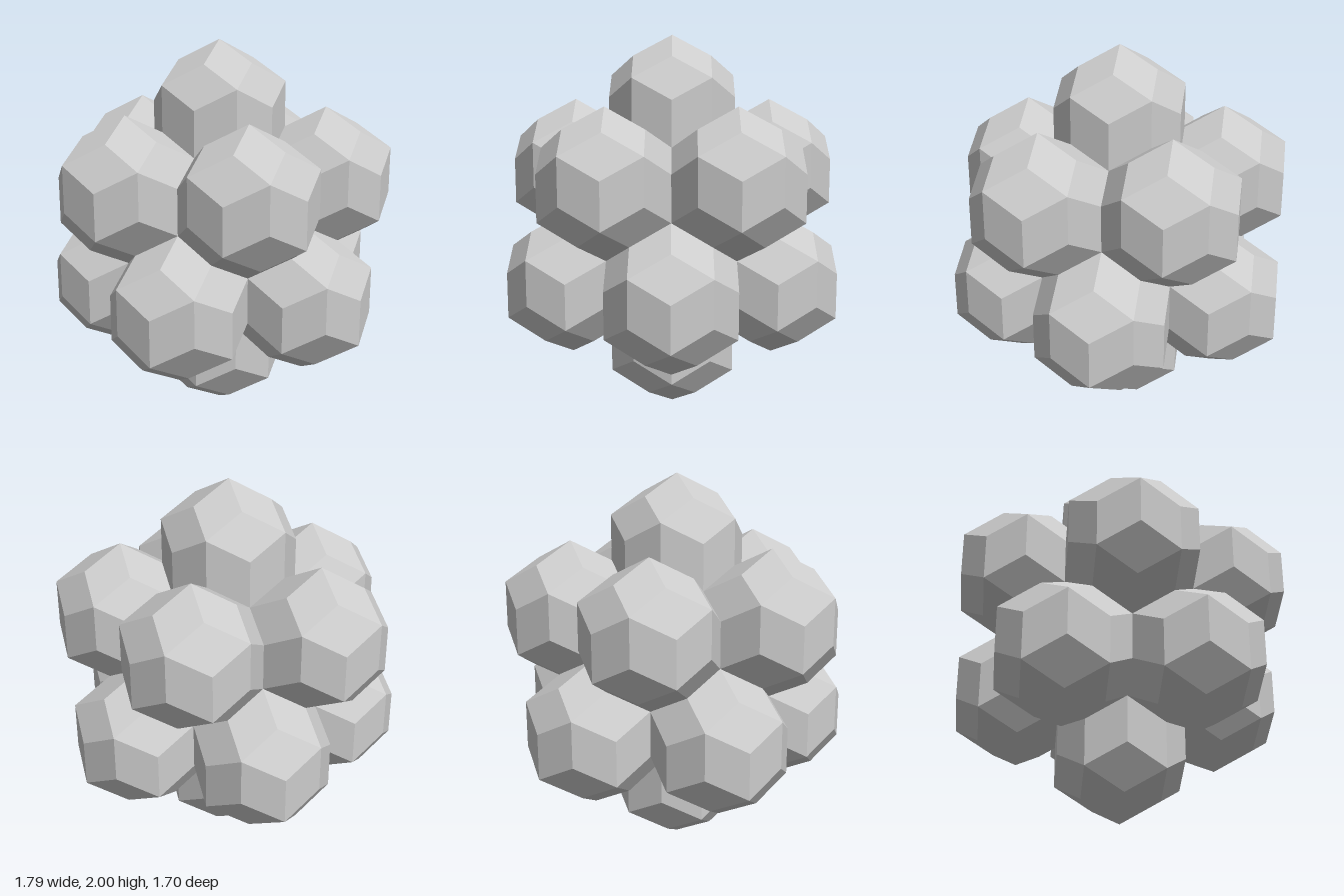
import * as THREE from 'three';

// Twelve directions of an icosahedron standing on a vertex: pole, two rings of five, pole
function icosahedronDirections() {
  const dirs = [new THREE.Vector3(0, 1, 0), new THREE.Vector3(0, -1, 0)];
  const h = 1 / Math.sqrt(5), r = 2 / Math.sqrt(5);
  for (let i = 0; i < 5; i++) {
    const a = (i * 2 * Math.PI) / 5;
    const upper = new THREE.Vector3(r * Math.cos(a), h, r * Math.sin(a));
    dirs.push(upper, upper.clone().negate());
  }
  return dirs;
}

// Rhombic triacontahedron: one rhombus over every edge of the icosahedron
function triacontahedron(dirs, radius) {
  const adjacent = (a, b) => a !== b && a.dot(b) > 0.4 && a.dot(b) < 0.5;
  const phi = (1 + Math.sqrt(5)) / 2;
  const threeFoldRadius = radius * Math.sqrt(3 / (phi + 2));
  const positions = [];
  dirs.forEach((a, i) => dirs.slice(i + 1).forEach((b) => {
    if (!adjacent(a, b)) return;
    // the two icosahedron faces sharing this edge give the other two corners
    const [p, q] = dirs.filter((c) => adjacent(a, c) && adjacent(b, c))
      .map((c) => a.clone().add(b).add(c).setLength(threeFoldRadius));
    const va = a.clone().multiplyScalar(radius);
    const vb = b.clone().multiplyScalar(radius);
    const normal = p.clone().sub(va).cross(vb.clone().sub(va));
    const [c1, c2] = normal.dot(va) > 0 ? [p, q] : [q, p];
    for (const v of [va, c1, vb, va, vb, c2]) positions.push(v.x, v.y, v.z);
  }));
  const geometry = new THREE.BufferGeometry();
  geometry.setAttribute('position', new THREE.Float32BufferAttribute(positions, 3));
  geometry.computeVertexNormals();
  return geometry;
}

export function createModel() {
  const group = new THREE.Group();
  group.name = 'polyhedronCluster';
  const dirs = icosahedronDirections();

  // Cell size and spacing chosen so neighbours share a face and the total height is 2
  const spacing = 0.618, cellRadius = 0.382;
  const geometry = triacontahedron(dirs, cellRadius);
  const material = new THREE.MeshStandardMaterial({ color: 0xcccccc, flatShading: true });

  // One cell at each icosahedron vertex
  dirs.forEach((dir, i) => {
    const cell = new THREE.Mesh(geometry, material);
    cell.name = `rhombicCell${i + 1}`;
    cell.position.copy(dir).multiplyScalar(spacing);
    cell.position.y += 1;
    group.add(cell);
  });
  return group;
}
